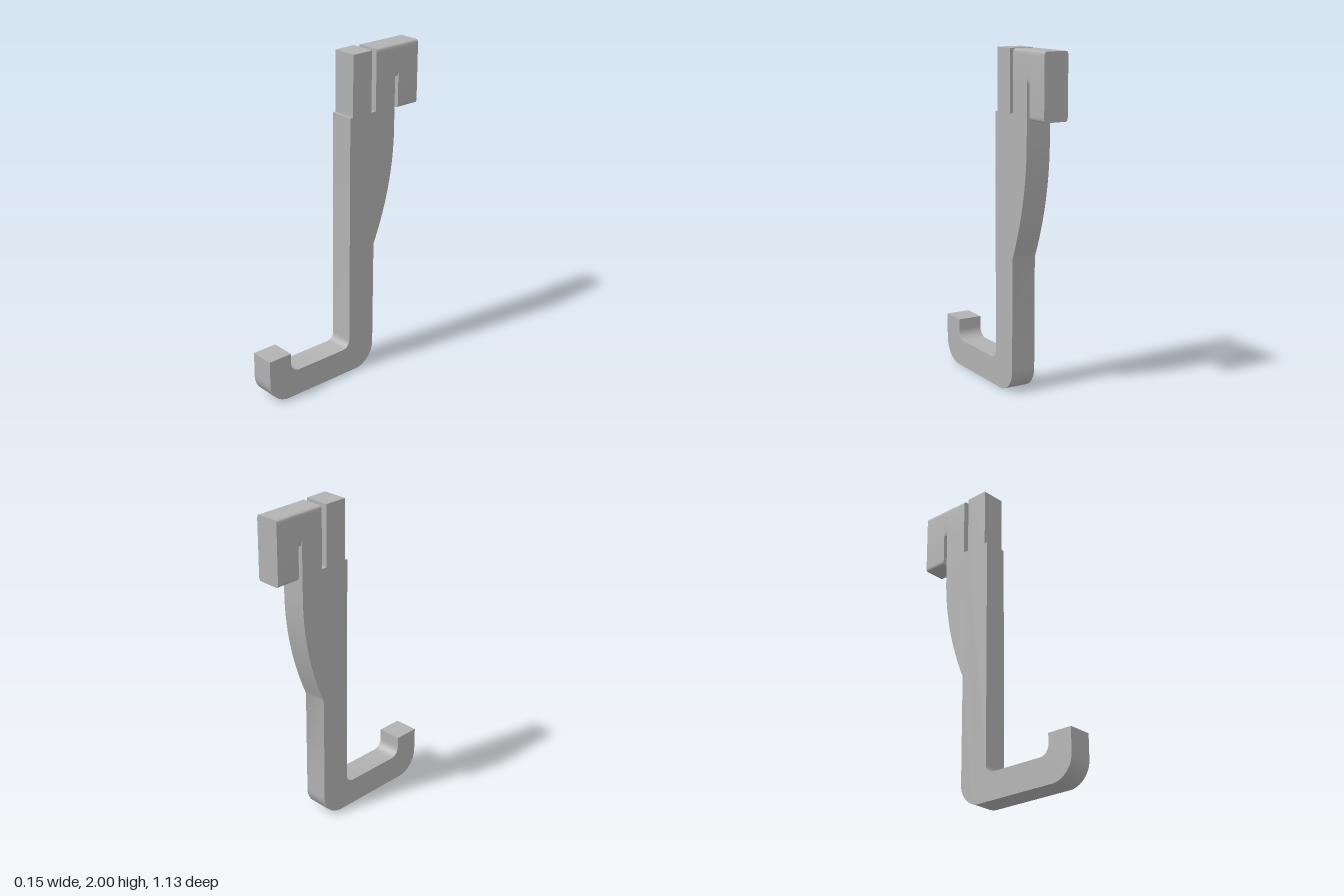
import * as THREE from 'three';
import { toCreasedNormals } from 'three/addons/utils/BufferGeometryUtils.js';

const HALF = 0.075; // half the width of the hook

export function createModel() {
  const group = new THREE.Group();
  const grey = new THREE.MeshStandardMaterial({ color: 0xb2b2b2 });
  grey.name = 'plain grey';

  const add = (name, geometry) => {
    const mesh = new THREE.Mesh(toCreasedNormals(geometry, 0.5), grey);
    mesh.name = name;
    group.add(mesh);
  };

  // Side outline of the hook, stem and front tongue, drawn as (z, y)
  const s = new THREE.Shape();
  s.moveTo(0.567, 0.29);
  s.lineTo(0.41, 0.29);
  s.lineTo(0.41, 0.225);
  s.absarc(0.35, 0.225, 0.06, 0, -Math.PI / 2, true);
  s.lineTo(0.005, 0.165);
  s.absarc(0.005, 0.215, 0.05, -Math.PI / 2, -Math.PI, true);
  s.lineTo(-0.045, 1.635);
  s.lineTo(-0.065, 1.635);
  s.lineTo(-0.065, 2);
  s.lineTo(-0.205, 2);
  s.lineTo(-0.205, 1.635);
  s.lineTo(-0.24, 1.635);
  s.lineTo(-0.24, 1.81);
  s.lineTo(-0.387, 1.81);
  s.lineTo(-0.387, 1.5);
  s.quadraticCurveTo(-0.387, 1.15, -0.235, 0.805); // bulging back
  s.lineTo(-0.235, 0.14);
  s.absarc(-0.095, 0.14, 0.14, Math.PI, Math.PI * 1.5, false);
  s.lineTo(0.427, 0);
  s.absarc(0.427, 0.14, 0.14, -Math.PI / 2, 0, false);
  s.closePath();
  const body = new THREE.ExtrudeGeometry(s, { depth: HALF * 2, bevelEnabled: false, curveSegments: 20 });
  body.translate(0, 0, -HALF);
  body.rotateY(-Math.PI / 2);
  add('hookBody', body);

  // Clip blocks: cross-section in (x, y) with softened long edges, run along z
  const clipBlock = (name, z0, z1, y0, r0) => {
    const w = HALF, e = 0.015, r = 0.03;
    const c = new THREE.Shape();
    c.moveTo(-w + (r0 ? e : 0), y0);
    c.lineTo(w - (r0 ? e : 0), y0);
    if (r0) c.quadraticCurveTo(w, y0, w, y0 + r0);
    c.lineTo(w, 2 - r);
    c.quadraticCurveTo(w, 2, w - e, 2);
    c.lineTo(-w + e, 2);
    c.quadraticCurveTo(-w, 2, -w, 2 - r);
    c.lineTo(-w, y0 + r0);
    if (r0) c.quadraticCurveTo(-w, y0, -w + e, y0);
    const g = new THREE.ExtrudeGeometry(c, { depth: z1 - z0, bevelEnabled: false, curveSegments: 8 });
    g.translate(0, 0, z0);
    add(name, g);
  };
  clipBlock('clipStem', -0.387, -0.24, 1.81, 0);
  clipBlock('clipBridge', -0.413, -0.387, 1.81, 0.05);
  clipBlock('clipLeg', -0.565, -0.413, 1.62, 0.025);

  return group;
}
